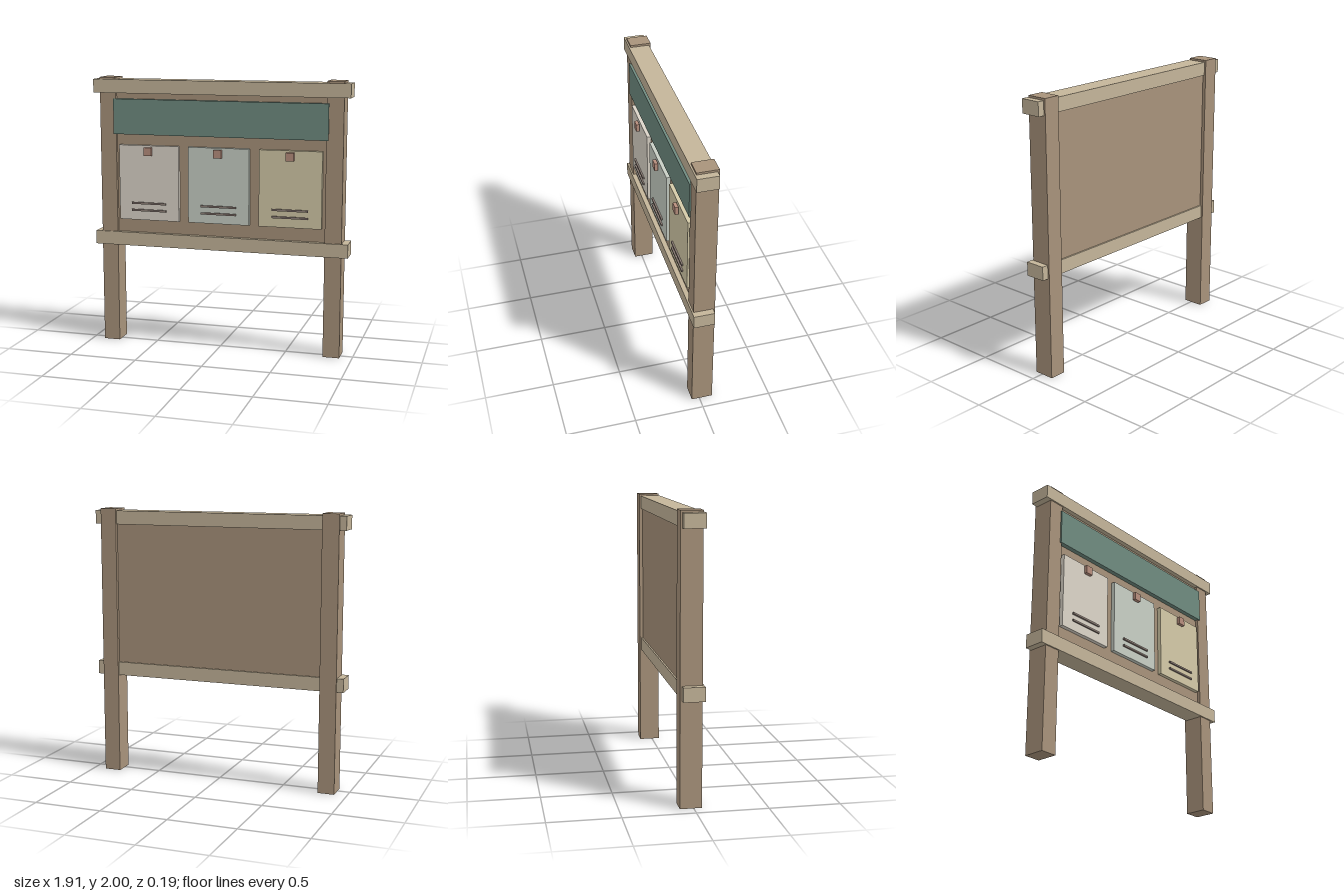
import * as THREE from 'three';

const material = (color) => new THREE.MeshStandardMaterial({ color });

export function createModel() {
  const model = new THREE.Group();
  const wood = material(0xa8937b);
  const paleWood = material(0xc4b59a);
  const green = material(0x6f8b80);
  const ink = material(0x8f8078);
  const clipRed = material(0xb88f7e);

  // Box given by its extents on each axis
  function box(name, [x0, x1], [y0, y1], [z0, z1], mat, parent = model) {
    const mesh = new THREE.Mesh(new THREE.BoxGeometry(x1 - x0, y1 - y0, z1 - z0), mat);
    mesh.position.set((x0 + x1) / 2, (y0 + y1) / 2, (z0 + z1) / 2);
    mesh.name = name;
    parent.add(mesh);
  }

  // Posts
  box('leftPost', [0.787, 0.909], [0, 2], [-0.095, 0.057], wood);
  box('rightPost', [-0.909, -0.787], [0, 2], [-0.095, 0.057], wood);

  // Cross rails, running through the posts
  box('topRail', [-0.957, 0.957], [1.885, 1.985], [-0.082, 0.068], paleWood);
  box('bottomRail', [-0.957, 0.957], [0.747, 0.847], [-0.082, 0.068], paleWood);

  // Back board and header strip
  box('board', [-0.79, 0.79], [0.84, 1.89], [-0.07, 0.033], wood);
  box('header', [-0.803, 0.803], [1.583, 1.843], [0.033, 0.068], green);

  // Notices, each with a clip and two printed lines
  [0xdcd5c9, 0xc8cfc5, 0xd4caa8].forEach((color, i) => {
    const notice = new THREE.Group();
    notice.name = 'notice' + (i + 1);
    notice.position.x = (i - 1) * 0.533;
    model.add(notice);
    box('sheet', [-0.23, 0.23], [0.946, 1.504], [0.033, 0.063], material(color), notice);
    box('clip', [-0.029, 0.029], [1.432, 1.492], [0.069, 0.094], clipRed, notice);
    for (const y of [1.02, 1.073]) {
      box('printedLine', [-0.133, 0.133], [y - 0.007, y + 0.007], [0.064, 0.076], ink, notice);
    }
  });

  return model;
}
